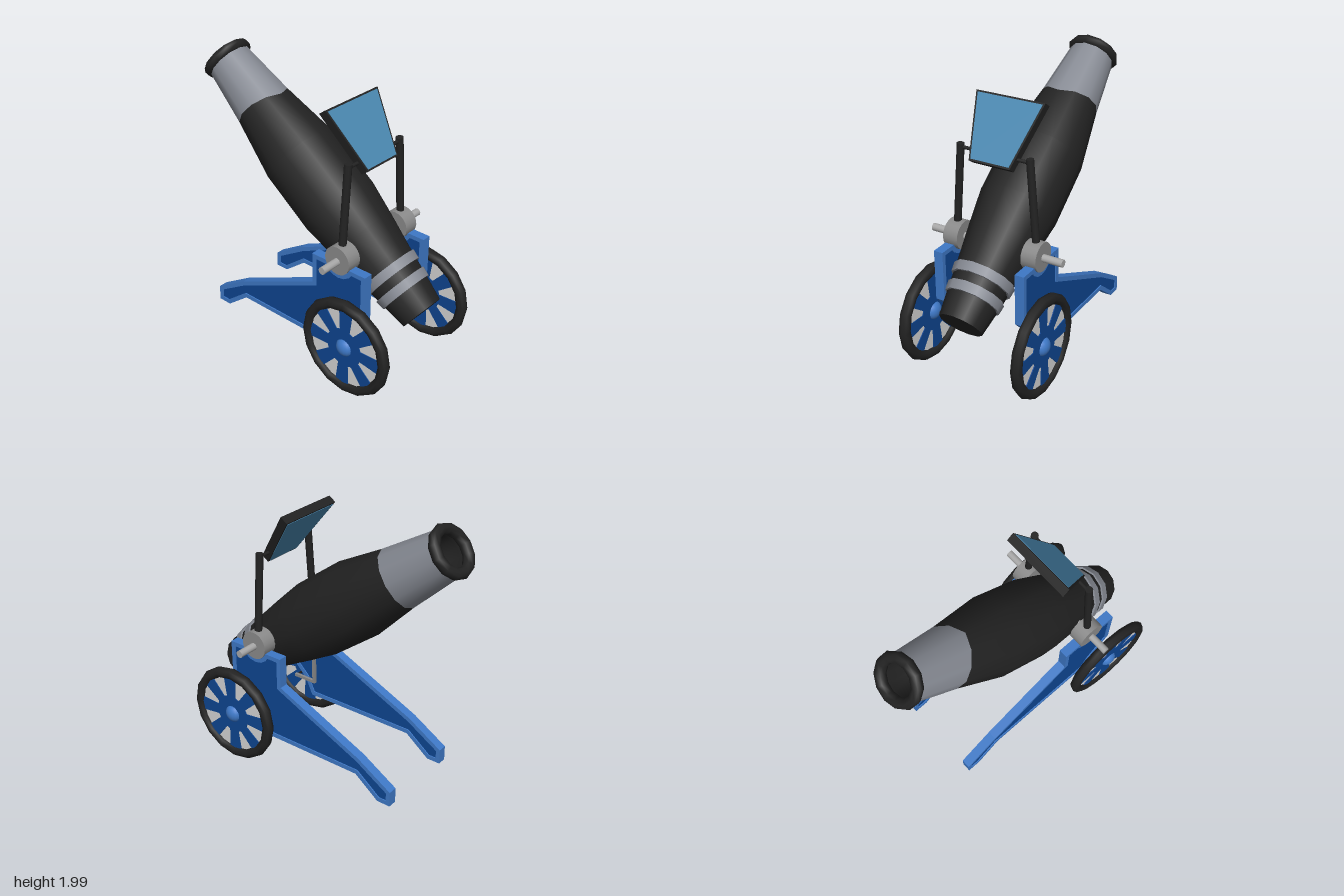
import * as THREE from 'three';

const mat = (name, color) => {
  const m = new THREE.MeshStandardMaterial({ color });
  m.name = name;
  return m;
};

export function createModel() {
  const black = mat('black iron', 0x222222);
  const grey = mat('blue grey metal', 0x868a93);
  const steel = mat('steel', 0x8a8a8a);
  const pale = mat('pale steel', 0xa8a8a8);
  const darkBlue = mat('dark blue', 0x0e4591);
  const lightBlue = mat('light blue', 0x3e78c6);
  const white = mat('off white', 0xd4d4d4);
  const glass = mat('blue glass', 0x4a88b0);

  const model = new THREE.Group();
  const add = (parent, name, geometry, material, x = 0, y = 0, z = 0) => {
    const mesh = new THREE.Mesh(geometry, material);
    mesh.name = name;
    mesh.position.set(x, y, z);
    parent.add(mesh);
    return mesh;
  };
  const vecs = (list) => list.map(([x, y]) => new THREE.Vector2(x, y));

  // Side outline given as (z, y), extruded to a plate centred on x = 0
  const sidePlate = (shape, depth, curveSegments = 6) =>
    new THREE.ExtrudeGeometry(shape, { depth, bevelEnabled: false, curveSegments })
      .translate(0, 0, -depth / 2).rotateY(-Math.PI / 2);

  // Round rod between two points
  const rod = (parent, name, a, b, r, material, sides = 10) => {
    const p = new THREE.Vector3(...a), q = new THREE.Vector3(...b);
    const mesh = add(parent, name, new THREE.CylinderGeometry(r, r, p.distanceTo(q), sides), material);
    mesh.position.copy(p).lerp(q, 0.5);
    mesh.quaternion.setFromUnitVectors(new THREE.Vector3(0, 1, 0), q.sub(p).normalize());
    return mesh;
  };

  // Shrinks a closed outline by a fixed margin
  const inset = (pts, d) => {
    const sign = THREE.ShapeUtils.area(pts) > 0 ? 1 : -1;
    return pts.map((p, i) => {
      const a = pts[(i + pts.length - 1) % pts.length], b = pts[(i + 1) % pts.length];
      const u = p.clone().sub(a).normalize(), v = b.clone().sub(p).normalize();
      const n1 = new THREE.Vector2(-u.y, u.x), n2 = new THREE.Vector2(-v.y, v.x);
      const m = n1.clone().add(n2);
      return p.clone().addScaledVector(m, (sign * d) / (1 + n1.dot(n2)));
    });
  };

  // Barrel, built along its own y axis and then tilted
  const barrel = new THREE.Group();
  barrel.name = 'barrel';
  barrel.position.set(0, 0.54, 0.89);
  barrel.rotation.x = -Math.atan2(0.8, 0.6);
  model.add(barrel);
  const SEAM = 1.69, SIDES = 12;
  const lathe = (pts) => {
    const g = new THREE.LatheGeometry(vecs(pts), SIDES);
    const p = g.attributes.position;
    // The colour seam bows forward at the sides
    for (let i = 0; i < p.count; i++) {
      if (Math.abs(p.getY(i) - SEAM) < 1e-4) {
        const k = Math.abs(p.getX(i)) / 0.21;
        p.setXYZ(i, p.getX(i) * (1 - 0.04 * k), SEAM + 0.06 * k, p.getZ(i) * (1 - 0.04 * k));
      }
    }
    return g;
  };
  add(barrel, 'barrelBody', lathe([[0.15, 0], [0.172, 0.15], [0.205, 0.4], [0.24, 0.63],
    [0.273, 0.88], [0.271, 1.32], [0.21, SEAM]]), black);
  add(barrel, 'breechCap', new THREE.CircleGeometry(0.15, SIDES).rotateX(Math.PI / 2), black);
  add(barrel, 'muzzleSleeve', lathe([[0.21, SEAM], [0.157, 2.15]]), grey);
  add(barrel, 'bore', lathe([[0.13, 2.18], [0.115, 2.12], [0.115, 1.8], [0, 1.8]]), black);
  add(barrel, 'muzzleRing', new THREE.TorusGeometry(0.146, 0.038, 8, SIDES).rotateX(Math.PI / 2), black, 0, 2.163, 0);
  for (const [y, r] of [[0.198, 0.192], [0.324, 0.21]]) {
    add(barrel, 'breechBand', new THREE.CylinderGeometry(r + 0.004, r - 0.004, 0.064, SIDES), grey, 0, y, 0);
  }

  // Carriage cheek outline, with a notch for the trunnion
  const notch = [];
  for (let i = 0; i <= 6; i++) {
    const a = Math.PI * (-0.13 - (0.74 * i) / 6);
    notch.push([0.46 + 0.1 * Math.cos(a), 0.92 + 0.1 * Math.sin(a)]);
  }
  const outline = vecs([[0.68, 0.88], ...notch, [0.24, 0.88], [0.24, 0.66], [-0.42, 0.36],
    [-0.68, 0.2], [-0.68, 0.09], [-0.58, 0.09], [-0.4, 0.23], [0.46, 0.23], [0.52, 0.36], [0.68, 0.52]]);
  const inner = inset(outline, 0.031);
  const frame = new THREE.Shape(outline);
  frame.holes.push(new THREE.Path(inner));
  const frameGeo = sidePlate(frame, 0.066);
  const panelGeo = sidePlate(new THREE.Shape(inner), 0.05);

  // Spoked wheel face: a disc with eight tapering windows
  const face = new THREE.Shape().absarc(0, 0, 0.31, 0, Math.PI * 2);
  for (let i = 0; i < 8; i++) {
    const a = THREE.MathUtils.degToRad(20 + 45 * i);
    const at = (r, t) => [r * Math.cos(a + t), r * Math.sin(a + t)];
    face.holes.push(new THREE.Path(vecs([at(0.14, -0.11), at(0.295, -0.21), at(0.295, 0.21), at(0.14, 0.11)])));
  }
  const faceGeo = sidePlate(face, 0.036, 16);
  const discGeo = new THREE.CylinderGeometry(0.305, 0.305, 0.024, 16).rotateZ(Math.PI / 2);
  const tyreGeo = new THREE.TorusGeometry(0.317, 0.039, 8, 16).rotateY(Math.PI / 2);
  const hubGeo = new THREE.SphereGeometry(0.066, 16, 12).scale(0.8, 1, 1);

  for (const s of [1, -1]) {
    const side = s > 0 ? 'left' : 'right';
    const cheek = new THREE.Group();
    cheek.name = side + 'Cheek';
    cheek.position.x = s * 0.304;
    model.add(cheek);
    add(cheek, 'cheekFrame', frameGeo, lightBlue);
    add(cheek, 'cheekPanel', panelGeo, darkBlue);

    const wheel = new THREE.Group();
    wheel.name = side + 'Wheel';
    wheel.position.set(s * 0.425, 0.363, 0.605);
    model.add(wheel);
    add(wheel, 'tyre', tyreGeo, black);
    add(wheel, 'wheelDisc', discGeo, white);
    add(wheel, 'spokes', faceGeo, darkBlue);
    add(wheel, 'hub', hubGeo, lightBlue);
    rod(model, side + 'Axle', [s * 0.26, 0.358, 0.6], [s * 0.42, 0.358, 0.6], 0.008, black, 8);

    // Bent lever on the inner side of the cheek
    add(model, side + 'LeverArm', new THREE.BoxGeometry(0.022, 0.23, 0.022), steel, s * 0.262, 0.465, 0.43);
    add(model, side + 'LeverFoot', new THREE.BoxGeometry(0.022, 0.022, 0.19), steel, s * 0.262, 0.36, 0.515);

    // Trunnion, its pin and the post for the shield
    rod(model, side + 'Trunnion', [s * 0.24, 0.92, 0.46], [s * 0.348, 0.92, 0.46], 0.1, steel, 20);
    rod(model, side + 'TrunnionPin', [s * 0.2, 0.915, 0.46], [s * 0.492, 0.915, 0.46], 0.026, pale, 12);
    rod(model, side + 'Post', [s * 0.298, 0.98, 0.46], [s * 0.252, 1.57, 0.46], 0.026, black, 10);
    rod(model, side + 'ShieldPin', [s * 0.255, 1.545, 0.46], [s * 0.14, 1.545, 0.46], 0.012, black, 8);
  }

  // Tilted sight shield with a glass plate on each face
  const shield = new THREE.Group();
  shield.name = 'sightShield';
  shield.position.set(0, 1.683, 0.4);
  shield.rotation.x = -0.62;
  model.add(shield);
  const plate = vecs([[-0.148, -0.224], [0.148, -0.224], [0.25, 0.224], [-0.25, 0.224]]);
  add(shield, 'shieldFrame', new THREE.ExtrudeGeometry(new THREE.Shape(plate),
    { depth: 0.06, bevelEnabled: false }).translate(0, 0, -0.06), black);
  const paneGeo = new THREE.ExtrudeGeometry(new THREE.Shape(inset(plate, 0.012)),
    { depth: 0.004, bevelEnabled: false });
  add(shield, 'frontGlass', paneGeo, glass, 0, 0, -0.001);
  add(shield, 'backGlass', paneGeo, glass, 0, 0, -0.063);

  return model;
}
